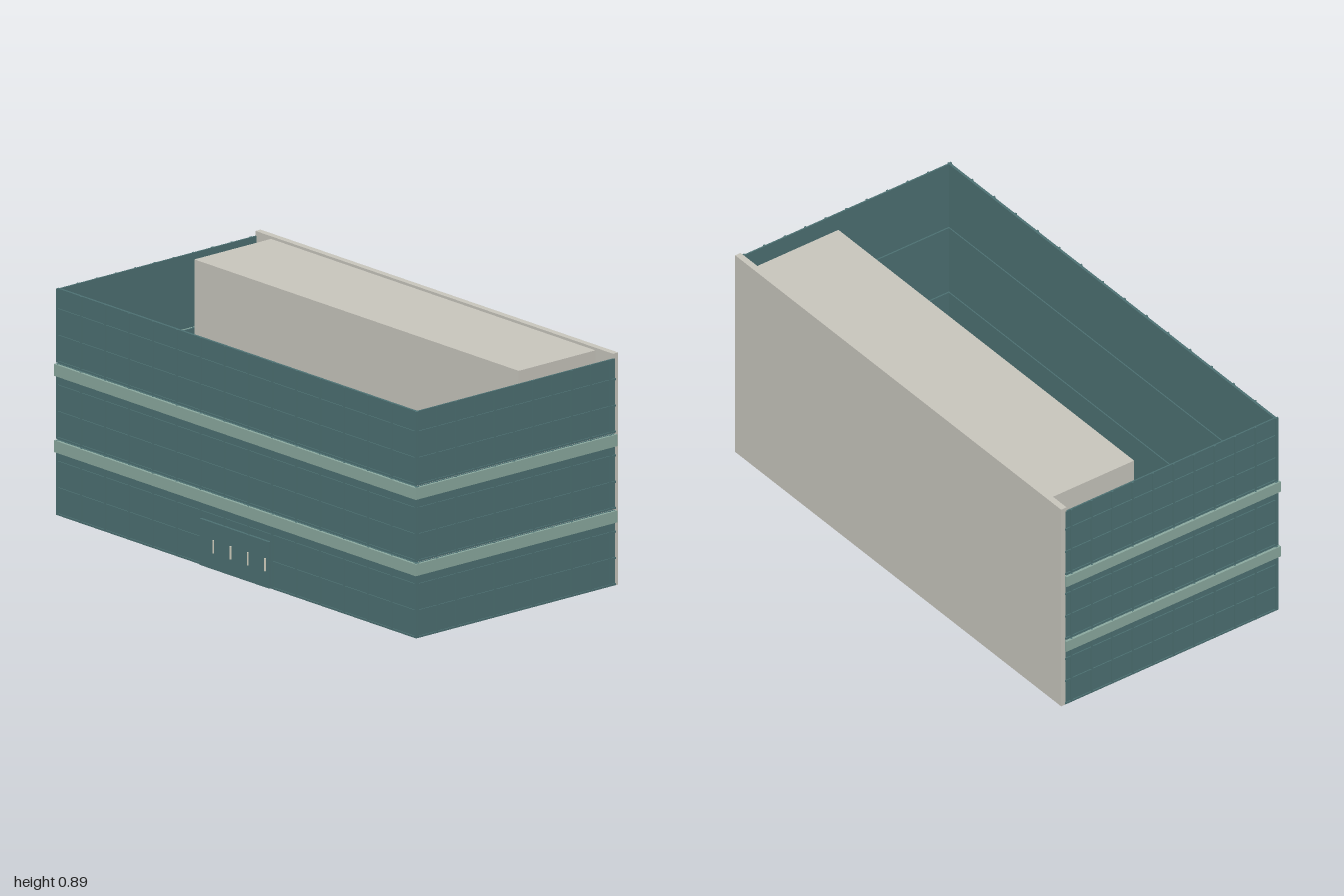
import * as THREE from 'three';

const material = (name, color) => {
  const m = new THREE.MeshStandardMaterial({ color });
  m.name = name;
  return m;
};

export function createModel() {
  const glass = material('teal glass', 0x4d7173);
  const band = material('pale green spandrel', 0x8caaa0);
  const concrete = material('light concrete', 0xc9c7be);
  const metal = material('cream metal', 0xd8d5c4);

  const model = new THREE.Group();
  model.name = 'officeBuilding';

  // Box given by its minimum and maximum on each axis
  const box = (parent, name, mat, [x0, x1], [y0, y1], [z0, z1]) => {
    const mesh = new THREE.Mesh(new THREE.BoxGeometry(x1 - x0, y1 - y0, z1 - z0), mat);
    mesh.position.set((x0 + x1) / 2, (y0 + y1) / 2, (z0 + z1) / 2);
    mesh.name = name;
    parent.add(mesh);
  };

  const storey = 0.2925;       // floor to floor
  const bar = 0.007;           // mullion width
  const wallX = [0.984, 0.99]; // side glass, inner and outer faces
  const wallZ = [0.478, 0.488];
  const mirrored = (s, [a, b]) => (s > 0 ? [a, b] : [-b, -a]);

  for (let f = 0; f < 3; f++) {
    const floor = new THREE.Group();
    floor.name = 'storey' + (f + 1);
    model.add(floor);
    const y0 = f * storey + 0.004;
    const y1 = f < 2 ? y0 + 0.287 : 0.872;
    const ys = [y0, y1];
    const rails = [0.007, 0.107, 0.208].map(h => f * storey + h);

    // Front glazing with its grid of mullions
    box(floor, 'frontGlass', glass, [-0.99, 0.99], ys, wallZ);
    const bays = 15;
    for (let i = 0; i <= bays; i++) {
      const x = -0.99 + (1.98 * i) / bays;
      box(floor, 'frontMullion', glass, [x - bar / 2, x + bar / 2], ys, [0.487, 0.493]);
    }
    for (const y of rails)
      box(floor, 'frontRail', glass, [-0.993, 0.993], [y - bar / 2, y + bar / 2], [0.487, 0.492]);

    // Side glazing, mirrored
    for (const s of [1, -1]) {
      box(floor, 'sideGlass', glass, mirrored(s, wallX), ys, [-0.48, 0.48]);
      for (let i = 0; i <= 10; i++) {
        const z = 0.483 - 0.0938 * i;
        box(floor, 'sideMullion', glass, mirrored(s, [0.989, 0.995]), ys, [z - bar / 2, z + bar / 2]);
      }
      for (const y of rails)
        box(floor, 'sideRail', glass, mirrored(s, [0.989, 0.994]), [y - bar / 2, y + bar / 2], [-0.483, 0.49]);
    }

    // Spandrel bands between storeys
    if (f < 2) {
      const by = [f * storey + 0.245, f * storey + 0.29];
      box(floor, 'frontBand', band, [-0.99, 0.99], by, [0.488, 0.499]);
      for (const s of [1, -1])
        box(floor, 'sideBand', band, mirrored(s, [0.99, 1.0]), by, [-0.483, 0.499]);
    }
  }

  // Rear wall and inner service core
  box(model, 'backWall', concrete, [-0.99, 0.986], [0, 0.89], [-0.5, -0.475]);
  box(model, 'serviceCore', concrete, [-0.899, 0.893], [0.004, 0.882], [-0.471, -0.097]);

  // Entrance doors with four upright handles
  const entrance = new THREE.Group();
  entrance.name = 'entrance';
  model.add(entrance);
  for (let i = 0; i < 4; i++) {
    const x = -0.195 + 0.0955 * i;
    box(entrance, 'doorLeaf', glass, [x, x + 0.0955], [0.004, 0.182], [0.488, 0.4985]);
    box(entrance, 'doorHandle', metal, [x + 0.075, x + 0.08], [0.067, 0.117], [0.498, 0.503]);
  }
  return model;
}
